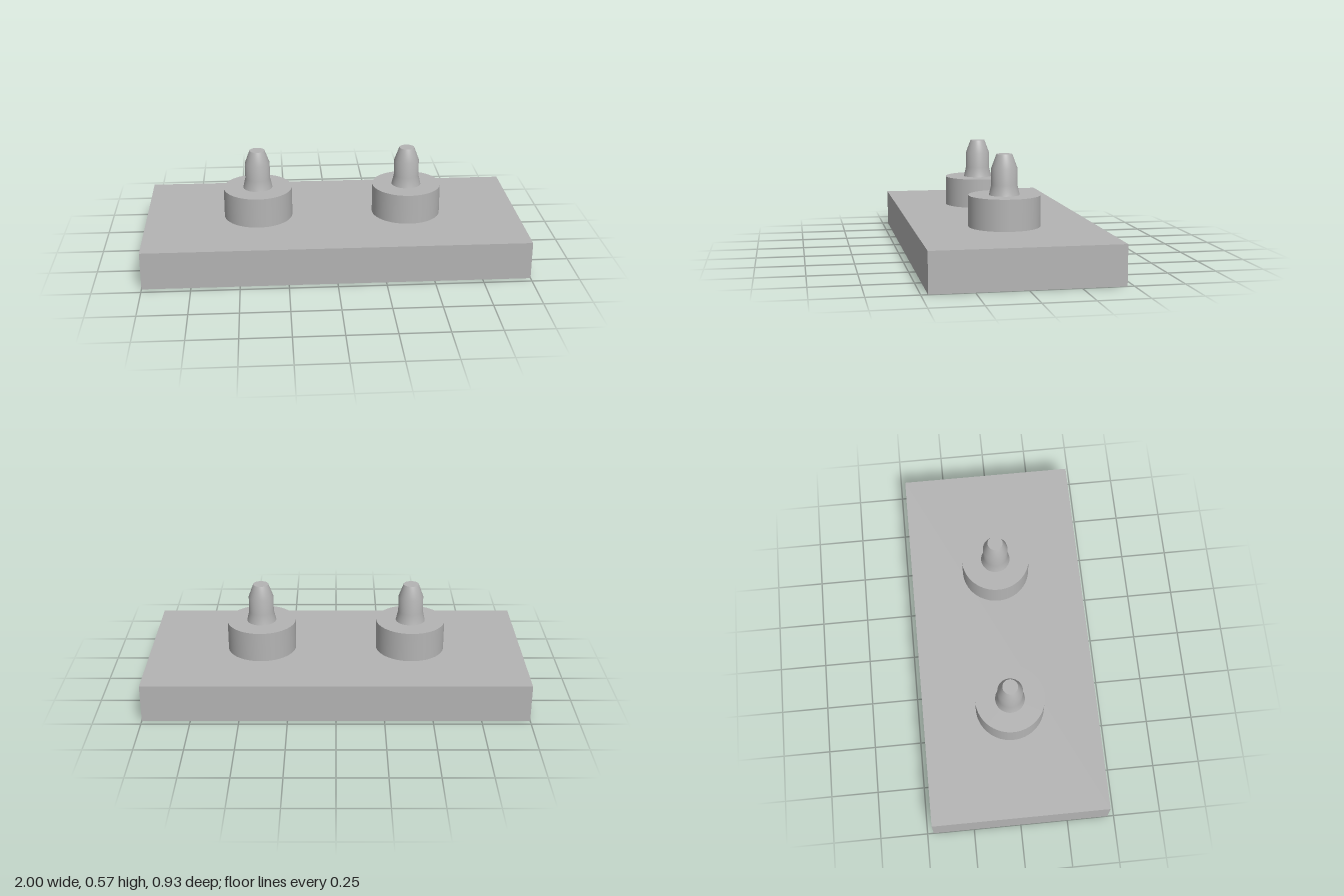
import * as THREE from 'three';

const grey = new THREE.MeshStandardMaterial({ name: 'grey', color: 0xb4b4b4 });
const SEGMENTS = 64;

function addMesh(parent, name, geometry, x, y, z) {
  const mesh = new THREE.Mesh(geometry, grey);
  mesh.name = name;
  mesh.position.set(x, y, z);
  parent.add(mesh);
  return mesh;
}

// Round collar with a tapered locating pin on top
function createStud(name) {
  const stud = new THREE.Group();
  stud.name = name;
  addMesh(stud, 'collar', new THREE.CylinderGeometry(0.183, 0.183, 0.16, SEGMENTS), 0, 0.08, 0);

  // Flared foot, straight neck and conical tip, measured from the collar top
  const profile = [[0.078, 0], [0.066, 0.053], [0.066, 0.137], [0.04, 0.207]]
    .map(([r, y]) => new THREE.Vector2(r, y));
  addMesh(stud, 'pin', new THREE.LatheGeometry(profile, SEGMENTS), 0, 0.16, 0);

  // Flat end of the pin, kept separate for a sharp rim
  const cap = new THREE.CircleGeometry(0.04, SEGMENTS).rotateX(-Math.PI / 2);
  addMesh(stud, 'pinCap', cap, 0, 0.367, 0);
  return stud;
}

export function createModel() {
  const model = new THREE.Group();
  model.name = 'studdedPlate';

  // Base plate
  addMesh(model, 'basePlate', new THREE.BoxGeometry(2, 0.2, 0.934), 0, 0.1, 0);

  // Mirrored pair of studs
  for (const [name, side] of [['rightStud', -1], ['leftStud', 1]]) {
    const stud = createStud(name);
    stud.position.set(side * 0.4, 0.2, 0);
    model.add(stud);
  }
  return model;
}
